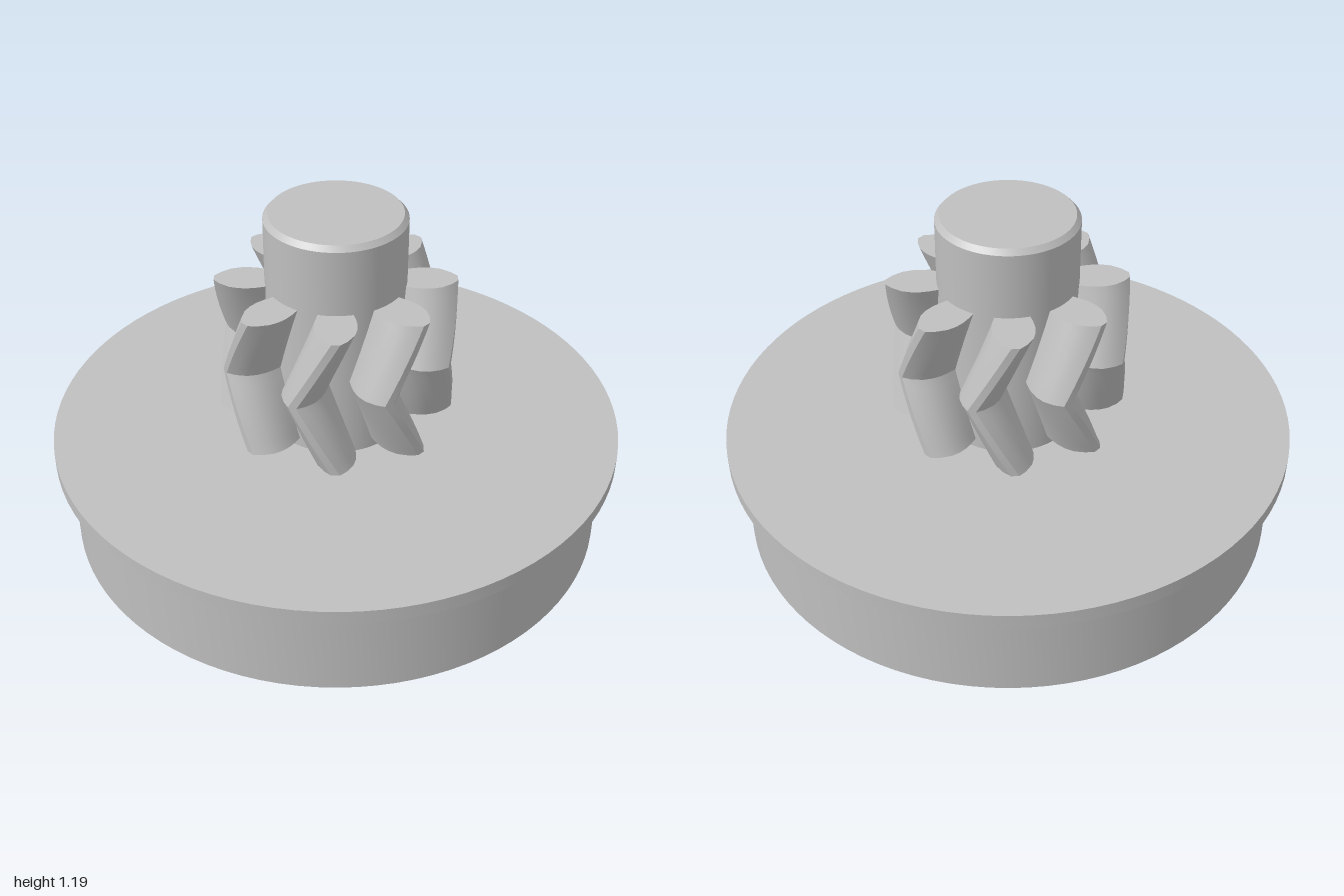
import * as THREE from 'three';
import { toCreasedNormals } from 'three/addons/utils/BufferGeometryUtils.js';

const TEETH = 8, TWIST = 20, Y0 = 0.42, Y1 = 0.94, LAYERS = 16;

// One tooth flank from root to tip: [radius, half width in degrees]
const FLANK = [[0.24, 14], [0.27, 14], [0.30, 13.4], [0.33, 12], [0.36, 9.6], [0.39, 5.6], [0.41, 2]];

// Closed gear outline as [radius, angle in degrees]
function gearOutline() {
  const ring = [];
  for (let t = 0; t < TEETH; t++) {
    const c = t * 360 / TEETH - 22;
    FLANK.forEach(([r, w]) => ring.push([r, c - w]));
    [...FLANK].reverse().forEach(([r, w]) => ring.push([r, c + w]));
    ring.push([0.24, c + 180 / TEETH]);
  }
  return ring;
}

// Outline swept upward, twisting one way to mid-height and back again
function herringboneGear() {
  const ring = gearOutline(), n = ring.length, pos = [], index = [];
  for (let j = 0; j <= LAYERS; j++) {
    const t = j / LAYERS;
    const turn = TWIST * (1 - Math.abs(2 * t - 1));
    for (const [r, deg] of ring) {
      const a = THREE.MathUtils.degToRad(deg + turn);
      pos.push(-r * Math.sin(a), Y0 + (Y1 - Y0) * t, r * Math.cos(a));
    }
  }
  for (let j = 0; j < LAYERS; j++) {
    for (let i = 0; i < n; i++) {
      const k = (i + 1) % n;
      const a = j * n + i, b = j * n + k, c = a + n, d = b + n;
      index.push(a, c, d, a, d, b);
    }
  }
  // End faces
  const low = pos.length / 3, high = low + 1, top = LAYERS * n;
  pos.push(0, Y0, 0, 0, Y1, 0);
  for (let i = 0; i < n; i++) {
    const k = (i + 1) % n;
    index.push(low, i, k, high, top + k, top + i);
  }
  const geo = new THREE.BufferGeometry();
  geo.setAttribute('position', new THREE.Float32BufferAttribute(pos, 3));
  geo.setIndex(index);
  return toCreasedNormals(geo, THREE.MathUtils.degToRad(30));
}

function turned(points) {
  const geo = new THREE.LatheGeometry(points.map(([r, y]) => new THREE.Vector2(r, y)), 96);
  return toCreasedNormals(geo, THREE.MathUtils.degToRad(30));
}

export function createModel() {
  const group = new THREE.Group();
  const metal = new THREE.MeshStandardMaterial({ color: 0xbfbfbf });
  metal.name = 'grey metal';

  const add = (name, geo) => {
    const mesh = new THREE.Mesh(geo, metal);
    mesh.name = name;
    group.add(mesh);
  };

  // Wide drum with a thin overhanging rim and a central bore
  add('flangedBase', turned([[0.12, 0], [0.95, 0], [0.95, 0.335], [1, 0.335], [1, 0.385], [0.12, 0.385]]));
  add('boreWall', turned([[0, 0.9], [0.12, 0.9], [0.12, 0]]));

  // Chamfered shaft
  add('shaft', turned([[0.24, 0.38], [0.24, 1.172], [0.224, 1.19], [0, 1.19]]));

  add('herringboneGear', herringboneGear());
  return group;
}
